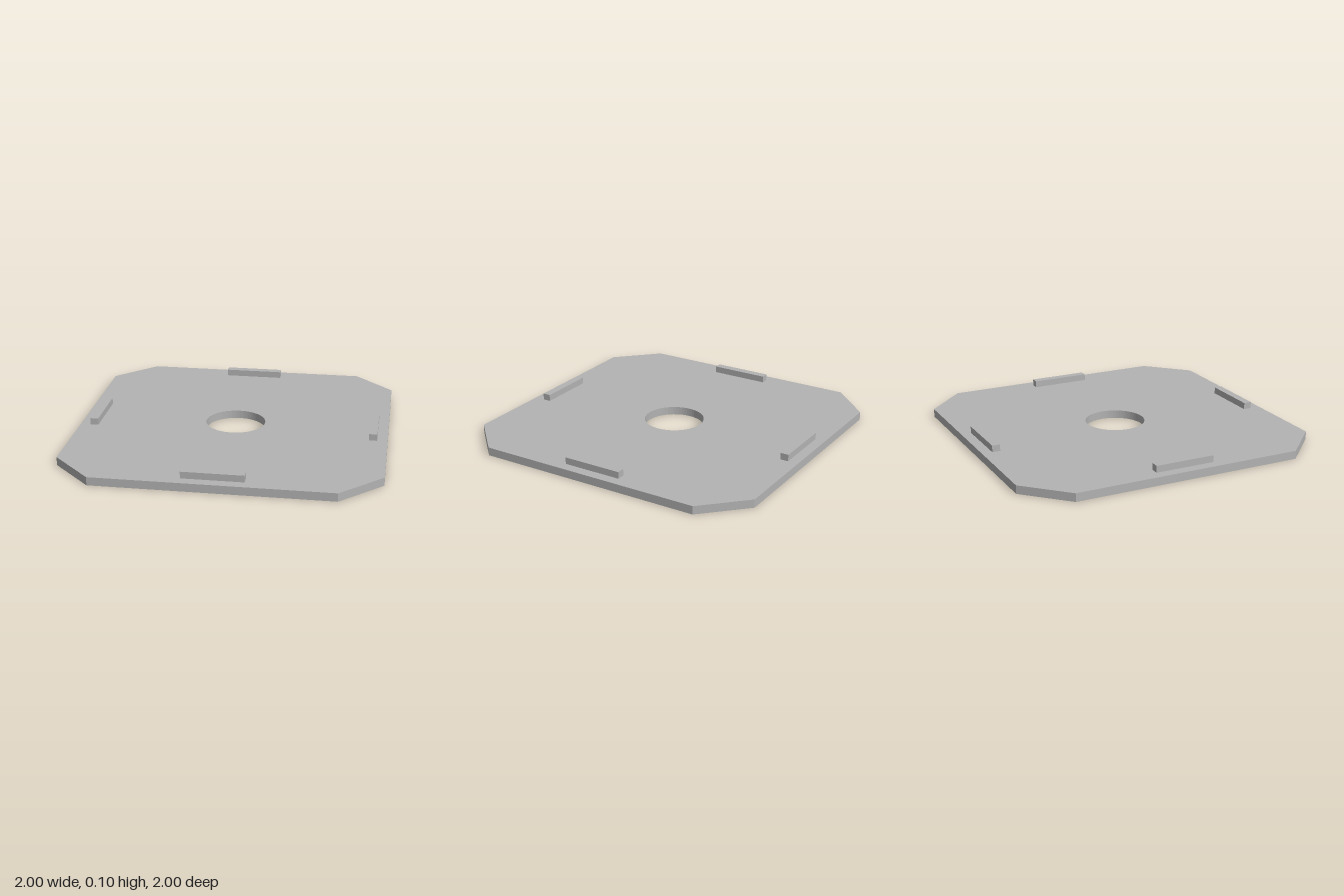
import * as THREE from 'three';

const HALF = 1, CUT = 0.743, THICK = 0.053, HOLE = 0.194;

export function createModel() {
  const model = new THREE.Group();
  model.name = 'basePlate';
  const grey = new THREE.MeshStandardMaterial({ color: 0xb3b3b3 });
  grey.name = 'plain grey';

  // Square plate with cut corners and a round centre hole
  const outline = new THREE.Shape([
    [CUT, -HALF], [HALF, -CUT], [HALF, CUT], [CUT, HALF],
    [-CUT, HALF], [-HALF, CUT], [-HALF, -CUT], [-CUT, -HALF],
  ].map(([x, y]) => new THREE.Vector2(x, y)));
  outline.holes.push(new THREE.Path().absarc(0, 0, HOLE, 0, Math.PI * 2, true));
  const plateGeometry = new THREE.ExtrudeGeometry(outline, {
    depth: THICK, bevelEnabled: false, curveSegments: 32,
  });
  plateGeometry.rotateX(-Math.PI / 2);
  const plate = new THREE.Mesh(plateGeometry, grey);
  plate.name = 'plate';
  model.add(plate);

  // One raised locating rib near the middle of each side
  const ribHeight = 0.043;
  const ribGeometry = new THREE.BoxGeometry(0.385, ribHeight, 0.052);
  ribGeometry.translate(0, THICK + ribHeight / 2, 0.908);
  ['frontRib', 'leftRib', 'backRib', 'rightRib'].forEach((name, i) => {
    const rib = new THREE.Mesh(ribGeometry, grey);
    rib.name = name;
    rib.rotation.y = i * Math.PI / 2;
    model.add(rib);
  });

  return model;
}
